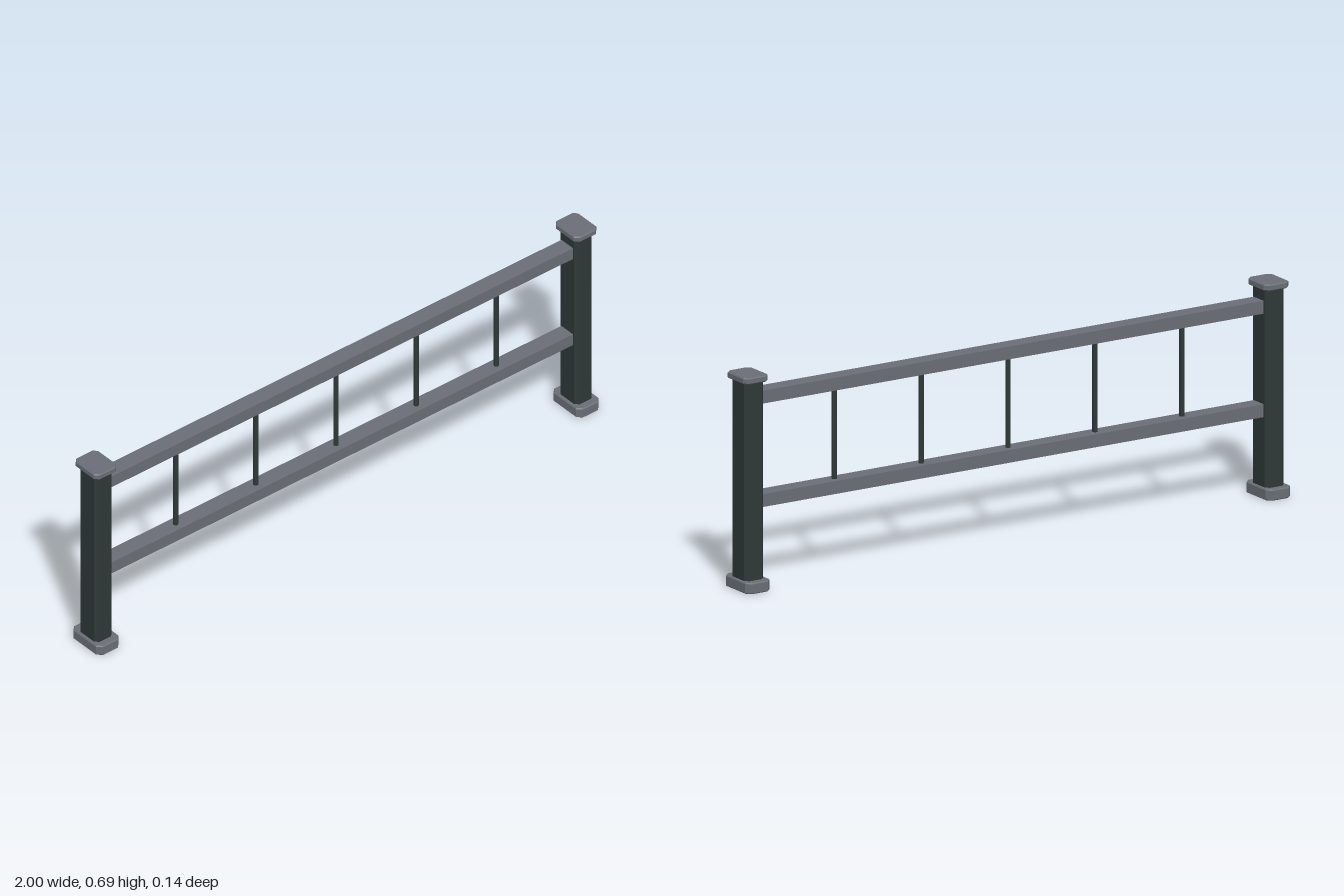
import * as THREE from 'three';

// Upright block with cut vertical corners and a fine bevel round top and bottom
function chamferedBlock(w, h, d, cut, bevel) {
  const x = w / 2 - bevel, z = d / 2 - bevel;
  const shape = new THREE.Shape([
    [x - cut, -z], [x, -z + cut], [x, z - cut], [x - cut, z],
    [-x + cut, z], [-x, z - cut], [-x, -z + cut], [-x + cut, -z],
  ].map(([a, b]) => new THREE.Vector2(a, b)));
  const geometry = new THREE.ExtrudeGeometry(shape, {
    depth: h - 2 * bevel, bevelEnabled: true, bevelThickness: bevel,
    bevelSize: bevel, bevelSegments: 1,
  });
  return geometry.translate(0, 0, bevel).rotateX(-Math.PI / 2); // bottom at y = 0
}

export function createModel() {
  const model = new THREE.Group();
  const darkGreen = new THREE.MeshStandardMaterial({ name: 'dark green paint', color: 0x2e3937, flatShading: true });
  const steelGrey = new THREE.MeshStandardMaterial({ name: 'steel grey', color: 0x6a6e76, flatShading: true });

  const add = (parent, name, geometry, material, x, y) => {
    const mesh = new THREE.Mesh(geometry, material);
    mesh.name = name;
    mesh.position.set(x, y, 0);
    parent.add(mesh);
  };

  // End posts with foot and cap
  const foot = chamferedBlock(0.09, 0.035, 0.14, 0.014, 0.003);
  const shaft = chamferedBlock(0.07, 0.64, 0.09, 0.011, 0.002);
  const cap = chamferedBlock(0.09, 0.02, 0.114, 0.012, 0.003);
  for (const side of [1, -1]) {
    const post = new THREE.Group();
    post.name = side > 0 ? 'leftPost' : 'rightPost';
    post.position.x = side * 0.955;
    add(post, 'foot', foot, steelGrey, 0, 0);
    add(post, 'shaft', shaft, darkGreen, 0, 0.03);
    add(post, 'cap', cap, steelGrey, 0, 0.666);
    model.add(post);
  }

  // Horizontal rails
  const rail = new THREE.BoxGeometry(1.85, 0.041, 0.056);
  add(model, 'lowerRail', rail, steelGrey, 0, 0.279);
  add(model, 'upperRail', rail, steelGrey, 0, 0.609);

  // Thin uprights between the rails
  const baluster = new THREE.CylinderGeometry(0.0085, 0.0085, 0.31, 8).rotateY(Math.PI / 8);
  for (let i = -2; i <= 2; i++) add(model, 'baluster', baluster, darkGreen, i * 0.319, 0.444);

  return model;
}
